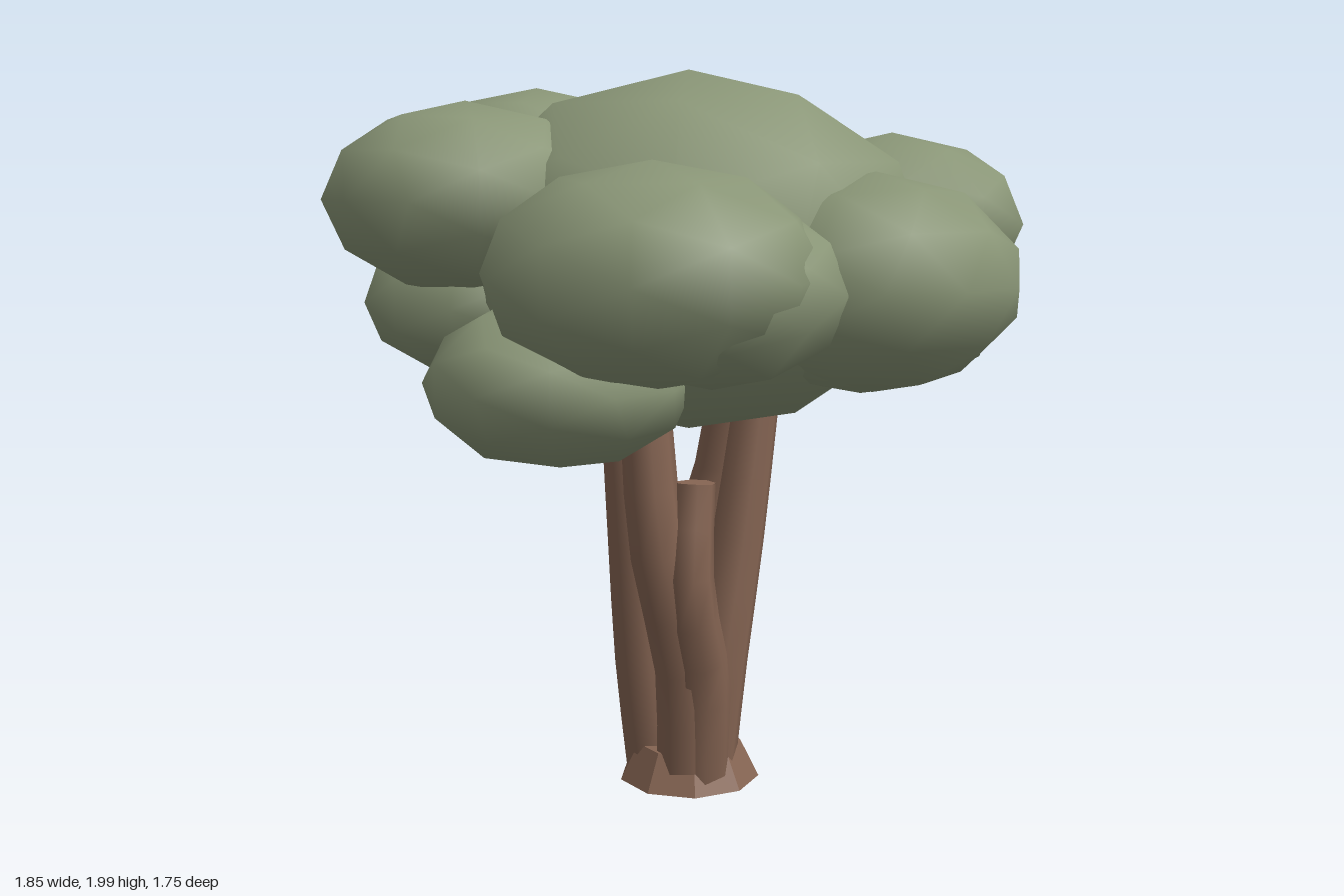
import * as THREE from 'three';

export function createModel() {
  const tree = new THREE.Group();
  tree.name = 'tree';
  const leaf = new THREE.MeshStandardMaterial({ color: 0x8a9677 });
  leaf.name = 'foliage green';
  const bark = new THREE.MeshStandardMaterial({ color: 0x866553 });
  bark.name = 'bark brown';
  const rootBark = bark.clone();
  rootBark.flatShading = true;

  const add = (name, geometry, material) => {
    const mesh = new THREE.Mesh(geometry, material);
    mesh.name = name;
    tree.add(mesh);
    return mesh;
  };

  // Foliage clumps: centre, then radii; low-poly spheres with smooth normals
  const clump = (name, [x, y, z, rx, ry, rz], turn = 0) => {
    const g = new THREE.IcosahedronGeometry(1, 1);
    g.rotateY(turn);
    g.scale(rx, ry, rz);
    g.translate(x, y, z);
    add(name, g, leaf);
  };
  clump('crownCore', [0, 1.525, 0, 0.64, 0.475, 0.64]);
  const upper = [
    [-0.56, 1.725, -0.05, 0.37, 0.24, 0.4],
    [-0.27, 1.71, -0.54, 0.385, 0.24, 0.345],
    [0.34, 1.595, -0.49, 0.37, 0.245, 0.36],
    [0.55, 1.465, -0.02, 0.375, 0.275, 0.38],
    [0.245, 1.5, 0.5, 0.435, 0.27, 0.385],
    [-0.36, 1.67, 0.47, 0.37, 0.245, 0.36],
  ];
  const lower = [
    [-0.43, 1.4, 0.3, 0.345, 0.215, 0.34],
    [-0.56, 1.33, 0.04, 0.335, 0.21, 0.33],
    [-0.49, 1.43, -0.27, 0.35, 0.21, 0.34],
    [-0.14, 1.32, -0.53, 0.35, 0.225, 0.35],
    [0.34, 1.55, -0.44, 0.335, 0.21, 0.34],
    [0.5, 1.395, -0.05, 0.35, 0.215, 0.34],
    [0.36, 1.46, 0.42, 0.33, 0.23, 0.33],
    [-0.05, 1.225, 0.49, 0.335, 0.215, 0.345],
  ];
  upper.forEach((c, i) => clump('upperClump' + (i + 1), c, i * 0.9));
  lower.forEach((c, i) => clump('lowerClump' + (i + 1), c, i * 1.3 + 0.4));

  // Trunk stems: bent tubes that taper upward
  const stem = (name, points, r0, r1) => {
    const curve = new THREE.CatmullRomCurve3(
      points.map((p) => new THREE.Vector3(...p)), false, 'centripetal');
    const rings = 7, sides = 8;
    const g = new THREE.TubeGeometry(curve, rings, 1, sides, false);
    const pos = g.attributes.position, v = new THREE.Vector3();
    for (let i = 0; i < pos.count; i++) {
      const t = Math.floor(i / (sides + 1)) / rings;
      const c = curve.getPointAt(t);
      v.fromBufferAttribute(pos, i).sub(c)
        .multiplyScalar(THREE.MathUtils.lerp(r0, r1, t)).add(c);
      pos.setXYZ(i, v.x, v.y, v.z);
    }
    add(name, g, bark);
  };
  stem('leftStem', [[-0.08, 0.08, 0.03], [-0.1, 0.4, 0.07], [-0.11, 0.75, 0.1], [-0.13, 1.25, 0.13]], 0.09, 0.062);
  stem('frontStem', [[0.04, 0.08, 0.06], [0.06, 0.4, 0.1], [0.04, 0.78, 0.205], [0, 1.25, 0.21]], 0.09, 0.065);
  stem('backStem', [[-0.05, 0.08, -0.06], [-0.1, 0.35, -0.11], [-0.13, 0.64, -0.185], [-0.07, 0.82, -0.215], [0.02, 1.25, -0.21]], 0.09, 0.06);
  stem('rightStem', [[0.06, 0.08, 0.02], [0.09, 0.4, -0.01], [0.115, 0.75, -0.07], [0.14, 1.25, -0.15]], 0.09, 0.06);
  stem('brokenStem', [[0.07, 0.08, 0.05], [0.105, 0.38, 0.085], [0.12, 0.66, 0.165], [0.11, 0.93, 0.13]], 0.085, 0.055);

  // Flat end of the broken stem
  const cap = new THREE.CircleGeometry(0.055, 8);
  cap.rotateX(-Math.PI / 2);
  add('brokenStemEnd', cap, bark).position.set(0.11, 0.93, 0.13);

  // Flared root collar, pointed underneath
  const profile = [[0, 0.01], [0.06, 0.02], [0.12, 0.05], [0.195, 0.07], [0.145, 0.17], [0, 0.19]];
  add('rootCollar', new THREE.LatheGeometry(
    profile.map(([x, y]) => new THREE.Vector2(x, y)), 9), rootBark);

  return tree;
}
